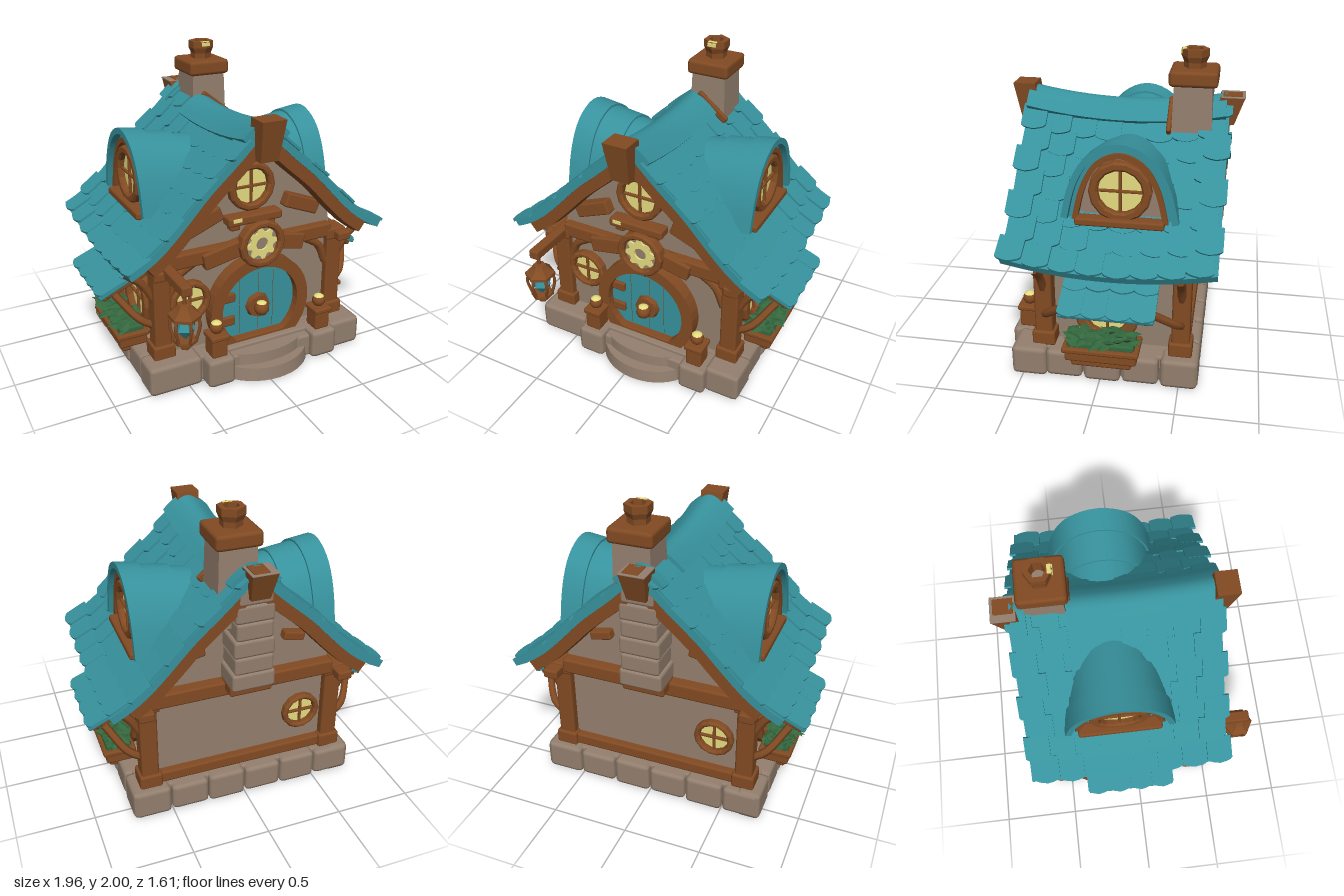
import * as THREE from 'three';
import { toCreasedNormals } from 'three/addons/utils/BufferGeometryUtils.js';
import { RoundedBoxGeometry } from 'three/addons/geometries/RoundedBoxGeometry.js';

const V = (x, y, z) => new THREE.Vector3(x, y, z);
const V2 = (x, y) => new THREE.Vector2(x, y);
const paint = (name, color) => Object.assign(new THREE.MeshStandardMaterial({ color }), { name });

export function createModel() {
  const house = new THREE.Group();
  house.name = 'cottage';
  const wood = paint('wood', 0x824b23), stone = paint('stone', 0x94806f), teal = paint('teal shingle', 0x37929d);
  const glow = paint('yellow glass', 0xe6dd80), leafGreen = paint('leaf green', 0x34683e);
  let seed = 7;
  const rand = () => (seed = (seed * 16807) % 2147483647) / 2147483647;

  // Helpers
  const put = (parent, name, geo, mat, x = 0, y = 0, z = 0) => {
    const m = new THREE.Mesh(geo, mat);
    m.name = name;
    m.position.set(x, y, z);
    parent.add(m);
    return m;
  };
  const group = (parent, name, x = 0, y = 0, z = 0) => {
    const g = new THREE.Group();
    g.name = name;
    g.position.set(x, y, z);
    parent.add(g);
    return g;
  };
  const box = (p, name, mat, w, h, d, x, y, z, r = 0.015) =>
    put(p, name, new RoundedBoxGeometry(w, h, d, 1, Math.min(r, w / 3, h / 3, d / 3)), mat, x, y, z);
  const beam = (p, name, a, b, w, h) => {
    const m = new THREE.Mesh(new RoundedBoxGeometry(w, h, a.distanceTo(b), 1, 0.012), wood);
    m.name = name;
    m.position.copy(a).lerp(b, 0.5);
    m.lookAt(b);
    p.add(m);
  };
  const tube = (p, name, pts, r) =>
    put(p, name, new THREE.TubeGeometry(new THREE.CatmullRomCurve3(pts), 8, r, 6), wood);
  const extrude = (shape, depth, opt = {}) =>
    new THREE.ExtrudeGeometry(shape, { depth, bevelEnabled: false, curveSegments: 8, ...opt });
  const ringGeo = (R, r, depth) => {
    const s = new THREE.Shape().absarc(0, 0, R - 0.012, 0, Math.PI * 2);
    s.holes.push(new THREE.Path().absarc(0, 0, r + 0.012, 0, Math.PI * 2, true));
    return extrude(s, depth - 0.012, { bevelEnabled: true, bevelSize: 0.012, bevelThickness: 0.012, bevelSegments: 1, curveSegments: 7 });
  };
  const offset = (curve, d, n = 28) => Array.from({ length: n + 1 }, (_, i) => {
    const p = curve.getPointAt(i / n), t = curve.getTangentAt(i / n);
    return V2(p.x - t.y * d, p.y + t.x * d);
  });
  // Curved strip between two offsets of a curve, swept along z and lifted by a rule
  const band = (curve, top, bottom, z0, z1, lift = () => 0) => {
    const g = extrude(new THREE.Shape([...offset(curve, top), ...offset(curve, bottom).reverse()]), z1 - z0, { steps: 10 });
    g.translate(0, 0, z0);
    const a = g.attributes.position;
    for (let i = 0; i < a.count; i++) a.setY(i, a.getY(i) + lift(a.getZ(i)));
    g.computeVertexNormals();
    return toCreasedNormals(g, 0.6);
  };
  const roundWindow = (p, name, R, r, x, y, z) => {
    const g = group(p, name, x, y, z);
    put(g, 'frame', ringGeo(R, r, 0.055), wood);
    put(g, 'pane', new THREE.CircleGeometry(r + 0.015, 24), glow, 0, 0, 0.014);
    box(g, 'upright bar', wood, 0.018, r * 2, 0.02, 0, 0, 0.025);
    box(g, 'cross bar', wood, r * 2, 0.018, 0.02, 0, 0, 0.025);
  };
  const tileGeo = (w, l) => {
    const s = new THREE.Shape([V2(-w / 2, l), V2(-w / 2, 0.02)]);
    s.quadraticCurveTo(-w / 2 + 0.01, 0, 0, -0.01);
    s.quadraticCurveTo(w / 2 - 0.01, 0, w / 2, 0.02);
    s.lineTo(w / 2, l);
    return extrude(s, 0.016, { curveSegments: 3 });
  };

  // Roof outline: half from ridge to eave, and the whole
  const half = [V2(0, 1.65), V2(0.09, 1.58), V2(0.22, 1.455), V2(0.4, 1.295), V2(0.55, 1.135), V2(0.68, 1.005), V2(0.8, 0.915), V2(0.895, 0.865)];
  const slope = new THREE.SplineCurve(half);
  const mirrored = pts => new THREE.SplineCurve([...pts.slice(1).reverse().map(p => V2(-p.x, p.y)), ...pts]);
  const whole = mirrored(half), gable = mirrored(half.slice(0, 7));
  const sag = z => 0.07 * ((z + 0.08) / 0.65) ** 2 - 0.03;

  // Stone base
  box(house, 'foundation', stone, 1.42, 0.18, 1.08, 0, 0.1, -0.03);
  box(house, 'right front corner stone', stone, 0.36, 0.2, 0.2, -0.59, 0.1, 0.435, 0.03);
  box(house, 'left front corner stone', stone, 0.24, 0.2, 0.23, 0.655, 0.1, 0.455, 0.03);
  for (const x of [-0.31, 0.46]) box(house, 'newel plinth', stone, 0.19, 0.195, 0.22, x, 0.098, 0.51, 0.03);
  for (const s of [-1, 1])
    for (let i = 0; i < 4; i++)
      box(house, 'side stone', stone, 0.16, 0.185 + 0.015 * (i % 2), 0.235, s * 0.685, 0.098, 0.23 - i * 0.243, 0.03);
  for (let i = 0; i < 6; i++)
    box(house, 'back stone', stone, 0.25, 0.185 + 0.015 * (i % 2), 0.14, -0.635 + i * 0.254, 0.098, -0.55, 0.03);
  const stepGeo = (r, h, deep) => new THREE.CylinderGeometry(r, r * 1.03, h, 20, 1, false, -Math.PI / 2, Math.PI).scale(1, 1, deep);
  put(house, 'lower step', stepGeo(0.33, 0.09, 0.83), stone, 0.06, 0.045, 0.415);
  put(house, 'upper step', stepGeo(0.33, 0.165, 0.6), stone, 0.05, 0.083, 0.42);
  box(house, 'door slab', stone, 0.76, 0.165, 0.08, 0.03, 0.083, 0.53, 0.02);

  // Gable walls
  const eaves = offset(whole, -0.09, 40).filter(p => Math.abs(p.x) < 0.6);
  put(house, 'walls', extrude(new THREE.Shape([V2(-0.59, 0.18), V2(-0.6, 0.9), ...eaves, V2(0.6, 0.9), V2(0.59, 0.18)]), 0.885), stone, 0, 0, -0.505);

  // Main roof
  put(house, 'roof shell', band(whole, 0, -0.05, -0.71, 0.565, sag), teal);
  const crown = mirrored([V2(0, 1.632), V2(0.06, 1.602), V2(0.13, 1.54)]);
  put(house, 'ridge cover', band(crown, 0.045, -0.01, -0.36, 0.57, sag), teal);
  put(house, 'back ridge cover', band(crown, 0.045, -0.01, -0.69, -0.6, sag), teal);
  for (const [z0, z1] of [[0.47, 0.56], [-0.705, -0.615]])
    put(house, 'bargeboard', band(gable, -0.035, -0.125, z0, z1, sag), wood);
  const ridgeEnd = (name, y, z, h, d, lean) => {
    const g = new THREE.BoxGeometry(0.16, h, d), a = g.attributes.position;
    for (let i = 0; i < a.count; i++) if (a.getY(i) < 0) a.setXYZ(i, a.getX(i) * 0.75, a.getY(i), a.getZ(i) - lean);
    g.computeVertexNormals();
    put(house, name, g, wood, -0.01, y, z);
  };
  ridgeEnd('front ridge end', 1.6, 0.605, 0.26, 0.14, 0.05);
  ridgeEnd('back ridge end', 1.605, -0.725, 0.18, 0.15, -0.06);
  box(house, 'back ridge stone', stone, 0.165, 0.008, 0.15, -0.01, 1.696, -0.728);
  box(house, 'back ridge strap', wood, 0.1, 0.008, 0.12, 0.005, 1.701, -0.725);

  // Everything on a long side; local z points away from the house
  for (const s of [1, -1]) {
    const side = group(house, s > 0 ? 'left side' : 'right side');
    side.rotation.y = s * Math.PI / 2;
    const rows = 8;
    for (let i = 0; i < rows; i++) {
      const p = slope.getPointAt((i + 1) / rows), q = slope.getPointAt(Math.max(0, (i - 0.1) / rows));
      const a = Math.atan2(q.y - p.y, p.x - q.x);
      for (let k = 0; k < 8; k++) {
        const z = -0.63 + k * 0.16 + (i % 2 ? 0.022 : -0.02);
        const t = put(side, 'shingle', tileGeo(0.16, i ? 0.17 : 0.12), teal, -s * z, p.y + sag(z) + 0.004 + rand() * 0.006, p.x + 0.002 + rand() * 0.006);
        t.rotation.x = a - Math.PI / 2 - 0.04;
      }
    }

    // Dormer
    const dormer = group(side, 'dormer', s * 0.11, 0, 0);
    const arch = mirrored([V2(0, 1.527), V2(0.11, 1.495), V2(0.2, 1.415), V2(0.27, 1.27), V2(0.315, 1.08)]);
    const drop = z => -0.14 * (0.66 - z);
    put(dormer, 'dormer roof', band(arch, 0.012, -0.03, 0.1, 0.62, drop), teal);
    put(dormer, 'dormer shingle edge', band(arch, 0.04, 0, 0.52, 0.665, drop), teal);
    put(dormer, 'dormer back shingles', band(arch, 0.026, 0, 0.33, 0.53, drop), teal);
    put(dormer, 'dormer trim', band(arch, -0.025, -0.058, 0.54, 0.64), wood);
    put(dormer, 'dormer wall', extrude(new THREE.Shape(offset(arch, -0.045)), 0.4), stone, 0, -0.01, 0.19);
    box(dormer, 'dormer sill', wood, 0.54, 0.05, 0.09, 0, 1.07, 0.635);
    roundWindow(dormer, 'dormer window', 0.19, 0.135, 0, 1.26, 0.59);

    // Window, awning and flower box
    roundWindow(side, 'side window', 0.21, 0.14, s * 0.03, 0.43, 0.6);
    const awning = group(side, 'awning', s * 0.075, 0, 0);
    const tilt = Math.atan2(0.15, 0.33);
    const slab = box(awning, 'awning slab', teal, 0.57, 0.03, 0.38, 0, 0.665, 0.79);
    slab.rotation.x = tilt;
    for (let r = 0; r < 2; r++) for (let k = 0; k < 4; k++) {
      const t = put(awning, 'awning shingle', tileGeo(0.145, 0.2), teal, -0.218 + k * 0.1455, 0.592 + 0.078 * r + rand() * 0.01, 0.965 - 0.17 * r);
      t.rotation.x = tilt - Math.PI / 2 - 0.04;
    }
    for (const e of [-1, 1]) {
      beam(awning, 'awning rafter', V(e * 0.24, 0.715, 0.6), V(e * 0.24, 0.575, 0.94), 0.05, 0.05);
      tube(awning, 'awning brace', [V(e * 0.43, 0.4, 0.65), V(e * 0.41, 0.46, 0.75), V(e * 0.27, 0.59, 0.86)], 0.026);
    }
    beam(awning, 'awning rail', V(-0.28, 0.6, 0.9), V(0.28, 0.6, 0.9), 0.04, 0.04);
    const planter = group(side, 'flower box', s * 0.02, 0, 0);
    box(planter, 'trough', wood, 0.45, 0.1, 0.19, 0, 0.24, 0.75);
    box(planter, 'trough rim', wood, 0.48, 0.035, 0.22, 0, 0.275, 0.755);
    for (const e of [-0.15, 0.15]) box(planter, 'trough bracket', wood, 0.06, 0.07, 0.14, e, 0.17, 0.74);
    box(planter, 'bracket bar', wood, 0.38, 0.045, 0.06, 0, 0.165, 0.79);
    box(planter, 'leaf mound', leafGreen, 0.42, 0.05, 0.17, 0, 0.305, 0.755, 0.02);
    const leaf = new THREE.OctahedronGeometry(1);
    for (let i = 0; i < 44; i++) {
      const l = put(planter, 'leaf', leaf, leafGreen, (rand() - 0.5) * 0.4, 0.31 + rand() * 0.04, 0.76 + (rand() - 0.5) * 0.18);
      l.scale.set(0.04, 0.014, 0.065);
      l.rotation.set(-rand() * 0.6, rand() * 6.3, 0, 'YXZ');
    }

    // Eave plate
    beam(side, 'eave plate', V(-s * 0.5, 0.805, 0.66), V(s * 0.66, 0.805, 0.66), 0.1, 0.06);
  }

  // Corner posts, braces and gable timbers
  for (const s of [-1, 1]) {
    for (const z of [0.37, -0.5]) {
      box(house, 'corner post', wood, 0.115, 0.65, 0.115, s * 0.63, 0.51, z);
      box(house, 'post foot', wood, 0.15, 0.1, 0.15, s * 0.63, 0.24, z);
      box(house, 'post head', wood, 0.15, 0.08, 0.15, s * 0.63, 0.81, z);
      tube(house, 'eave brace', [V(s * 0.66, 0.58, z), V(s * 0.74, 0.72, z), V(s * 0.85, 0.82, z)], 0.028);
    }
    beam(house, 'front gable stub', V(s * 0.47, 1.03, 0.41), V(s * 0.23, 1.125, 0.41), 0.08, 0.095);
    beam(house, 'back gable stub', V(s * 0.4, 1.1, -0.53), V(s * 0.26, 1.13, -0.53), 0.07, 0.06);
    tube(house, 'front knee brace', [V(s * 0.58, 0.6, 0.39), V(s * 0.52, 0.73, 0.39), V(s * 0.4, 0.81, 0.39)], 0.03);
    beam(house, 'arched tie beam', V(s * 0.36, 0.815, 0.43), V(0.02, 0.89, 0.43), 0.07, 0.11);
  }
  box(house, 'front tie beam', wood, 1.18, 0.1, 0.08, 0, 0.845, 0.4);
  box(house, 'back tie beam', wood, 1.22, 0.1, 0.1, 0, 0.84, -0.53);
  box(house, 'back sill beam', wood, 1.22, 0.08, 0.07, 0, 0.24, -0.52);
  box(house, 'gable ledge', wood, 0.38, 0.06, 0.1, -0.01, 1.055, 0.43);
  box(house, 'ledge highlight', glow, 0.06, 0.025, 0.006, -0.14, 1.065, 0.48);
  for (const x of [-0.14, 0.11]) box(house, 'ledge block', wood, 0.07, 0.05, 0.07, x, 1.01, 0.42);

  // Round windows of the two gables
  roundWindow(house, 'attic window', 0.16, 0.115, -0.01, 1.25, 0.38);
  roundWindow(house, 'front window', 0.14, 0.1, -0.44, 0.55, 0.38);
  const backWindows = group(house, 'back windows', 0, 0, -0.495);
  backWindows.rotation.y = Math.PI;
  roundWindow(backWindows, 'back window', 0.13, 0.095, 0.42, 0.51, 0);

  // Gear plaque
  const plaque = group(house, 'gear plaque', 0.03, 0.88, 0.44);
  put(plaque, 'plaque rim', ringGeo(0.16, 0.115, 0.07), wood);
  put(plaque, 'plaque face', new THREE.CylinderGeometry(0.125, 0.125, 0.03, 20).rotateX(Math.PI / 2), stone, 0, 0, 0.02);
  const teeth = Array.from({ length: 32 }, (_, i) => {
    const r = i % 4 < 2 ? 0.107 : 0.082, a = i / 32 * Math.PI * 2;
    return V2(r * Math.cos(a), r * Math.sin(a));
  });
  const gear = new THREE.Shape(teeth);
  gear.holes.push(new THREE.Path().absarc(0, 0, 0.043, 0, Math.PI * 2, true));
  put(plaque, 'gear', extrude(gear, 0.015), glow, 0, 0, 0.035);

  // Round door with a flat foot
  const door = group(house, 'door', 0.04, 0.42, 0.38);
  const leafShape = new THREE.Shape().absarc(0, 0, 0.285, -0.96, Math.PI + 0.96);
  put(door, 'door leaf', extrude(leafShape, 0.035, { curveSegments: 24 }), teal);
  const frame = new THREE.Shape().absarc(0, 0, 0.36, -0.73, Math.PI + 0.73);
  frame.absarc(0, 0, 0.28, Math.PI + 0.96, -0.96, true);
  put(door, 'door frame', extrude(frame, 0.09, { curveSegments: 14 }), wood);
  box(door, 'threshold', wood, 0.46, 0.03, 0.09, 0, -0.225, 0.045);
  for (const x of [-0.13, 0.01, 0.12]) box(door, 'plank seam', wood, 0.003, 0.42, 0.004, x, 0.01, 0.035);
  for (const y of [0.09, -0.08]) box(door, 'hinge', wood, 0.1, 0.065, 0.03, -0.22, y, 0.045);
  put(door, 'knob plate', new THREE.CylinderGeometry(0.08, 0.09, 0.04, 8).rotateX(Math.PI / 2), wood, 0, -0.01, 0.05);
  put(door, 'knob', new THREE.SphereGeometry(0.05, 10, 8), wood, 0, -0.01, 0.1);
  put(door, 'knob highlight', new THREE.SphereGeometry(0.053, 10, 3, 0, Math.PI * 2, 0, 0.7), glow, 0, -0.01, 0.1);

  // Newel posts beside the steps
  for (const x of [-0.31, 0.46]) {
    const newel = group(house, 'newel post', x, 0.19, 0.52);
    box(newel, 'newel body', wood, 0.11, 0.13, 0.12, 0, 0.065, 0);
    box(newel, 'newel cap', wood, 0.13, 0.035, 0.14, 0, 0.14, 0);
    put(newel, 'newel knob', new THREE.SphereGeometry(0.045, 10, 8), wood, 0, 0.195, 0);
    put(newel, 'newel knob top', new THREE.SphereGeometry(0.047, 10, 3, 0, Math.PI * 2, 0, 0.85), glow, 0, 0.195, 0);
  }

  // Lantern on its arm
  beam(house, 'lantern arm', V(-0.61, 0.825, 0.36), V(-0.61, 0.825, 0.76), 0.07, 0.065);
  const lantern = group(house, 'lantern', -0.61, 0, 0.71);
  const lathe = pts => toCreasedNormals(new THREE.LatheGeometry(pts.map(p => V2(...p)), 6), 0.3);
  put(lantern, 'lantern hook', new THREE.CylinderGeometry(0.012, 0.012, 0.1, 6), wood, 0, 0.76, 0);
  put(lantern, 'lantern roof', lathe([[0, 0.635], [0.1, 0.64], [0.1, 0.66], [0.055, 0.7], [0.04, 0.725], [0, 0.73]]), wood);
  put(lantern, 'lantern foot', lathe([[0, 0.42], [0.03, 0.43], [0.035, 0.455], [0.075, 0.475], [0.075, 0.495], [0, 0.5]]), wood);
  put(lantern, 'lantern glass', lathe([[0, 0.485], [0.062, 0.565], [0.04, 0.62], [0, 0.645]]), teal);
  for (let i = 0; i < 6; i++) {
    const a = i * Math.PI / 3, c = Math.sin(a), d = Math.cos(a);
    tube(lantern, 'lantern bar', [V(c * 0.065, 0.485, d * 0.065), V(c * 0.09, 0.59, d * 0.09), V(c * 0.08, 0.645, d * 0.08)], 0.01);
  }

  // Chimney
  const chimney = group(house, 'chimney', 0.075, 0, -0.485);
  const shaft = put(chimney, 'shaft', new THREE.CylinderGeometry(0.165, 0.185, 0.5, 4, 1).rotateY(Math.PI / 4).toNonIndexed(), stone, 0, 1.54, 0);
  shaft.geometry.computeVertexNormals();
  beam(chimney, 'front flashing', V(-0.06, 1.665, 0.14), V(0.15, 1.5, 0.14), 0.03, 0.05);
  box(chimney, 'cap', wood, 0.29, 0.1, 0.3, 0, 1.835, 0, 0.025);
  put(chimney, 'pot', lathe([[0.07, 1.88], [0.07, 1.92], [0.085, 1.955], [0.085, 2], [0.05, 2], [0.045, 1.9], [0, 1.9]]), wood);
  put(chimney, 'soot floor', new THREE.CircleGeometry(0.044, 6).rotateX(-Math.PI / 2), stone, 0, 1.915, 0);
  box(chimney, 'pot highlight', glow, 0.06, 0.025, 0.008, 0, 1.982, 0.083);
  box(chimney, 'pot rim highlight', glow, 0.06, 0.006, 0.025, 0, 1.998, 0.066);

  // Flue stones on the back gable
  for (let i = 0; i < 6; i++)
    box(house, 'flue stone', stone, 0.28 - 0.02 * (i % 2) - i * 0.008, 0.118, 0.22, 0, 0.95 + i * 0.115, -0.6, 0.02);
  box(house, 'flue corbel', wood, 0.28, 0.07, 0.17, 0, 0.87, -0.585);

  return house;
}
